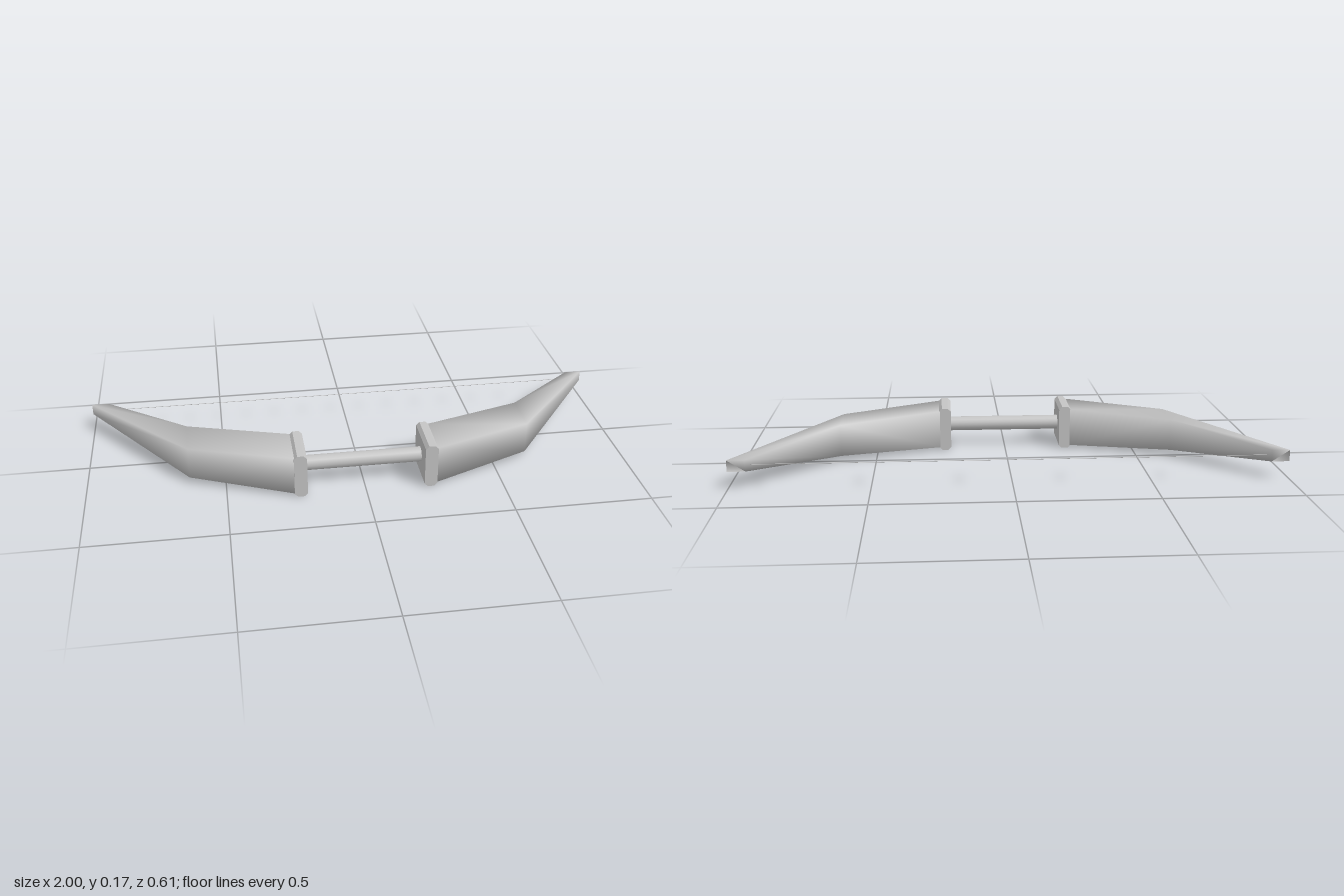
import * as THREE from 'three';

const Y = 0.084; // height of the bow's centre line

// Limb: smooth loft through four-cornered sections, closed at both ends
function limbGeometry() {
  // front corner x, z, back corner x, z, half height
  const sections = [
    [0.25, 0.303, 0.25, 0.127, 0.073],
    [0.63, 0.157, 0.63, -0.01, 0.06],
    [1, -0.305, 0.935, -0.305, 0.021],
  ];
  const pos = [], index = [];
  for (const [fx, fz, bx, bz, h] of sections) {
    pos.push(fx, Y + h, fz, fx, Y - h, fz, bx, Y - h, bz, bx, Y + h, bz);
  }
  for (let i = 0; i < sections.length - 1; i++) {
    for (let j = 0; j < 4; j++) {
      const a = i * 4 + j, b = i * 4 + (j + 1) % 4;
      index.push(a, b, b + 4, a, b + 4, a + 4);
    }
  }
  const t = (sections.length - 1) * 4;
  index.push(0, 2, 1, 0, 3, 2, t, t + 1, t + 2, t, t + 2, t + 3);
  const g = new THREE.BufferGeometry();
  g.setAttribute('position', new THREE.Float32BufferAttribute(pos, 3));
  g.setIndex(index);
  g.computeVertexNormals();
  return g;
}

// Collar: block with chamfered long edges, extruded front to back
function collarGeometry() {
  const x0 = 0.213, x1 = 0.26, y0 = 0, y1 = 0.167, c = 0.012;
  const outline = [
    [x0 + c, y0], [x1 - c, y0], [x1, y0 + c], [x1, y1 - c],
    [x1 - c, y1], [x0 + c, y1], [x0, y1 - c], [x0, y0 + c],
  ].map(([x, y]) => new THREE.Vector2(x, y));
  const g = new THREE.ExtrudeGeometry(new THREE.Shape(outline), { depth: 0.18, bevelEnabled: false });
  g.translate(0, 0, 0.125);
  return g;
}

export function createModel() {
  const model = new THREE.Group();
  model.name = 'bow';
  const grey = new THREE.MeshStandardMaterial({ color: 0xc4c4c4 });
  grey.name = 'light grey';

  const add = (parent, name, geometry) => {
    const mesh = new THREE.Mesh(geometry, grey);
    mesh.name = name;
    parent.add(mesh);
    return mesh;
  };

  // Mirrored halves
  const limb = limbGeometry(), collar = collarGeometry();
  for (const side of [1, -1]) {
    const half = new THREE.Group();
    half.name = side > 0 ? 'leftHalf' : 'rightHalf';
    half.scale.x = side;
    add(half, 'limb', limb);
    add(half, 'collar', collar);
    model.add(half);
  }

  // Round handle between the collars
  const grip = add(model, 'grip', new THREE.CylinderGeometry(0.028, 0.028, 0.45, 16));
  grip.rotation.z = Math.PI / 2;
  grip.position.set(0, Y, 0.213);

  // Hair-thin string between the tips
  const string = add(model, 'string', new THREE.CylinderGeometry(0.001, 0.001, 1.86, 6));
  string.rotation.z = Math.PI / 2;
  string.position.set(0, Y, -0.29);

  return model;
}
